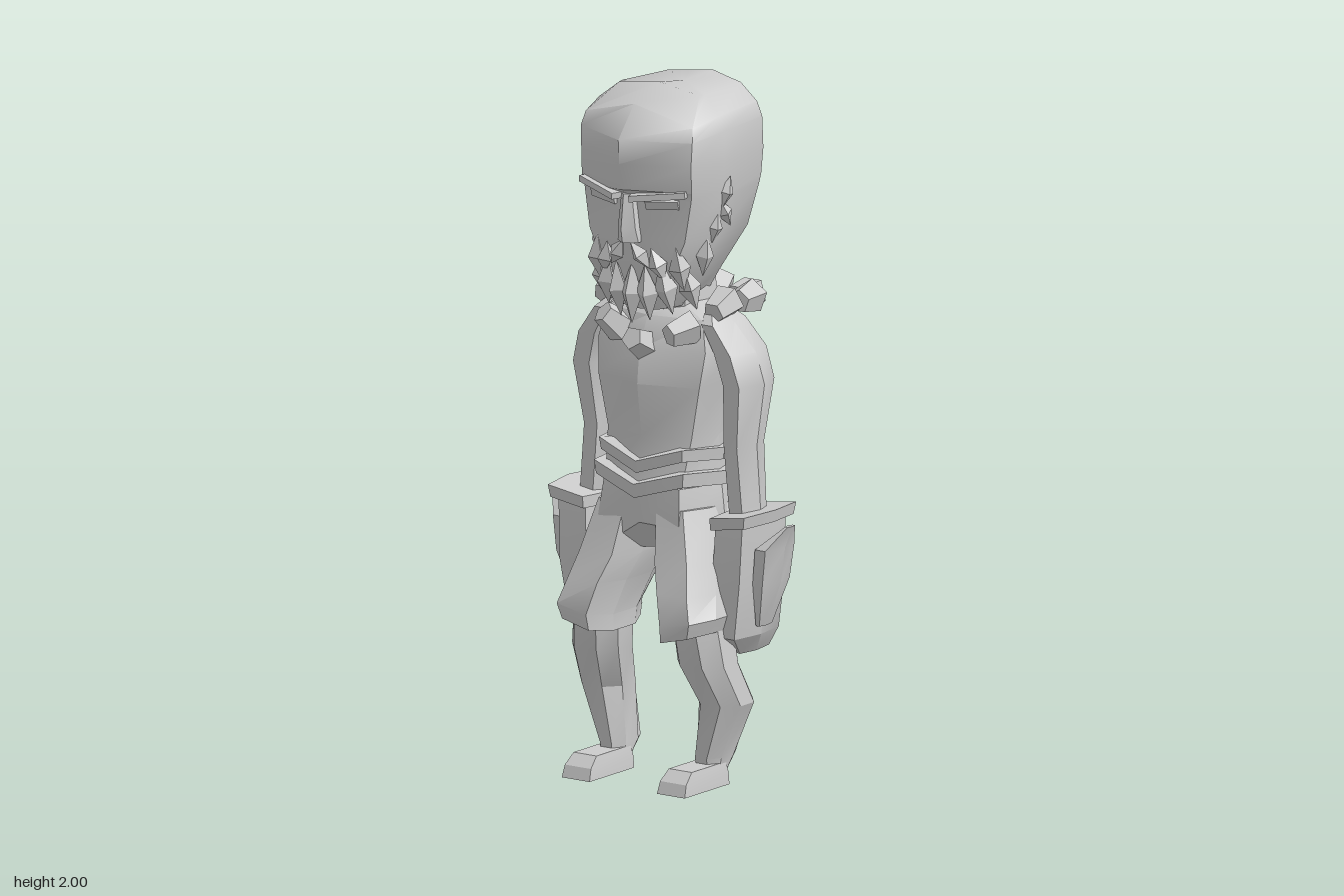
import * as THREE from 'three';
import { toCreasedNormals } from 'three/addons/utils/BufferGeometryUtils.js';

const stone = new THREE.MeshStandardMaterial({ color: 0xcccccc });
stone.name = 'stone grey';

// Skin rings of [x, y, z] points, listed bottom to top, and close both ends.
function loft(rings, crease) {
  const n = rings[0].length, pos = rings.flat(2), idx = [];
  rings.forEach((r, i) => {
    if (i === rings.length - 1) return;
    for (let j = 0; j < n; j++) {
      const a = i * n + j, b = i * n + (j + 1) % n;
      idx.push(a, b, b + n, a, b + n, a + n);
    }
  });
  for (const [i, top] of [[0, false], [rings.length - 1, true]]) {
    const c = pos.length / 3;
    for (let k = 0; k < 3; k++) pos.push(rings[i].reduce((s, p) => s + p[k], 0) / n);
    for (let j = 0; j < n; j++) {
      const a = i * n + j, b = i * n + (j + 1) % n;
      idx.push(c, ...(top ? [a, b] : [b, a]));
    }
  }
  const g = new THREE.BufferGeometry();
  g.setAttribute('position', new THREE.Float32BufferAttribute(pos, 3));
  g.setIndex(idx);
  return toCreasedNormals(g, crease);
}

// Mirrored ring from half points [x, z, optional height change], front to back.
function symmetric(y, half) {
  const right = half.map(([x, z, dy = 0]) => [x, y + dy, z]);
  const left = right.slice(1, -1).reverse().map(([x, h, z]) => [-x, h, z]);
  return [...right, ...left];
}

// Limb ring: height, centre x/z, radii x/z, slope of height outwards.
// A boxiness above 1 widens the front and back faces.
function limbRing([y, cx, cz, rx, rz, slope = 0], side, n = 6, boxy = 1) {
  const ring = [];
  for (let i = 0; i < n; i++) {
    const a = ((i + 0.5) / n) * Math.PI * 2;
    const dx = THREE.MathUtils.clamp(Math.sin(a) * boxy, -1, 1) * rx;
    ring.push([side * (cx + dx), y + dx * slope, cz + Math.cos(a) * rz]);
  }
  return side < 0 ? ring.reverse() : ring;
}

export function createModel() {
  const model = new THREE.Group();
  const add = (name, geometry, p = [0, 0, 0], r = [0, 0, 0]) => {
    const m = new THREE.Mesh(geometry, stone);
    m.name = name;
    m.position.set(...p);
    m.rotation.set(...r);
    model.add(m);
  };
  const body = (name, rings, crease = 0.6) => add(name, loft(rings.map(([y, h]) => symmetric(y, h)), crease));
  const limb = (name, rings, s, n, boxy) => add(name, loft(rings.map(r => limbRing(r, s, n, boxy)), 0.45));

  // Head with a large domed skull and recessed face
  body('head', [
    [1.37, [[0, 0.19], [0.06, 0.17], [0.085, 0.1], [0.08, -0.02], [0.055, -0.08], [0, -0.1]]],
    [1.46, [[0, 0.21], [0.11, 0.185], [0.155, 0.09], [0.13, -0.03], [0.08, -0.1], [0, -0.13]]],
    [1.58, [[0, 0.22], [0.165, 0.185], [0.2, 0.08], [0.175, -0.1], [0.1, -0.16], [0, -0.18]]],
    [1.7, [[0, 0.222], [0.185, 0.182], [0.218, 0.08], [0.2, -0.12], [0.12, -0.21], [0, -0.24]]],
    [1.725, [[0, 0.262], [0.19, 0.187], [0.22, 0.08], [0.203, -0.125], [0.12, -0.216], [0, -0.252]]],
    [1.8, [[0, 0.27], [0.19, 0.19], [0.227, 0.08], [0.207, -0.13], [0.12, -0.223], [0, -0.277]]],
    [1.89, [[0, 0.275, -0.02], [0.193, 0.188, -0.02], [0.225, 0.08], [0.203, -0.13], [0.117, -0.217], [0, -0.258]]],
    [1.93, [[0, 0.2, 0.03], [0.185, 0.175, -0.02], [0.207, 0.08], [0.185, -0.13], [0.1, -0.2], [0, -0.23]]],
    [1.98, [[0, 0.08, 0.02], [0.14, 0.08], [0.146, 0.06], [0.125, -0.135, -0.005], [0.06, -0.155], [0, -0.175, 0.005]]],
  ], 0.8);
  body('nose', [
    [1.57, [[0, 0.255], [0.036, 0.228], [0.03, 0.19], [0, 0.19]]],
    [1.61, [[0, 0.262], [0.03, 0.235], [0.03, 0.19], [0, 0.19]]],
    [1.71, [[0, 0.25], [0.018, 0.235], [0.02, 0.19], [0, 0.19]]],
  ]);
  body('neck', [
    [1.28, [[0, 0.13], [0.1, 0.09], [0.12, 0], [0.1, -0.08], [0, -0.12]]],
    [1.46, [[0, 0.1], [0.085, 0.08], [0.1, 0], [0.08, -0.07], [0, -0.115]]],
  ]);

  // Torso, belt and hips
  body('torso', [
    [0.84, [[0, 0.185], [0.13, 0.16], [0.175, 0.03], [0.13, -0.1], [0, -0.12]]],
    [1.0, [[0, 0.165], [0.145, 0.125], [0.165, 0.02], [0.13, -0.11], [0, -0.135]]],
    [1.15, [[0, 0.185], [0.175, 0.13], [0.195, 0.03], [0.16, -0.105], [0, -0.15]]],
    [1.25, [[0, 0.175], [0.185, 0.115], [0.22, 0.03], [0.175, -0.085], [0, -0.145]]],
    [1.34, [[0, 0.135], [0.165, 0.1], [0.205, 0.03], [0.165, -0.06], [0, -0.12]]],
    [1.375, [[0, 0.09], [0.08, 0.08], [0.12, 0.02], [0.09, -0.05], [0, -0.09]]],
  ]);
  for (const [y, h, w] of [[0.925, 0.035, 0], [0.855, 0.04, 0.01]]) {
    const band = g => [[0, 0.19 + g, -0.03], [0.14 + g, 0.165 + g, 0.015], [0.185 + g, 0.03, 0.005],
      [0.14 + g, -0.11 - g, 0.01], [0, -0.13 - g, 0]];
    body('beltBand', [[y, band(w)], [y + h, band(w + 0.004)]]);
  }
  body('hips', [
    [0.665, [[0, 0.1], [0.13, 0.17], [0.2, 0.05], [0.13, -0.09], [0, -0.05]]],
    [0.75, [[0, 0.175], [0.14, 0.18], [0.2, 0.04], [0.135, -0.125], [0, -0.125]]],
    [0.86, [[0, 0.185], [0.13, 0.165], [0.18, 0.03], [0.13, -0.105], [0, -0.125]]],
  ]);

  for (const s of [1, -1]) {
    // Trouser leg, shin and foot
    limb('trouserLeg', [
      [0.445, 0.17, 0.122, 0.08, 0.134, 0.25], [0.49, 0.178, 0.12, 0.088, 0.145, 0.2],
      [0.57, 0.155, 0.085, 0.09, 0.162], [0.65, 0.13, 0.052, 0.097, 0.165], [0.8, 0.1, 0.03, 0.08, 0.15],
    ], s, 8, 1.5);
    limb('shin', [
      [0.02, 0.165, 0.065, 0.035, 0.035], [0.08, 0.165, 0.04, 0.042, 0.075],
      [0.24, 0.205, 0.042, 0.072, 0.083], [0.36, 0.183, 0.1, 0.08, 0.088], [0.5, 0.17, 0.11, 0.075, 0.1],
    ], s, 8, 1.25);
    limb('foot', [
      [0, 0.165, 0.145, 0.068, 0.15], [0.035, 0.165, 0.14, 0.064, 0.142], [0.065, 0.165, 0.125, 0.056, 0.115],
    ], s, 4);

    // Arm, gauntlet and outer fin
    limb('arm', [
      [0.75, 0.262, 0.015, 0.045, 0.065], [0.98, 0.242, 0.01, 0.045, 0.075],
      [1.16, 0.26, 0.012, 0.055, 0.097], [1.25, 0.235, 0.018, 0.055, 0.1],
      [1.33, 0.185, 0.03, 0.04, 0.09], [1.355, 0.17, 0.03, 0.025, 0.06],
    ], s);
    limb('cuff', [
      [0.76, 0.277, 0.02, 0.076, 0.138, 0.15], [0.795, 0.28, 0.02, 0.08, 0.143, 0.15],
    ], s, 6, 1.5);
    limb('gauntlet', [
      [0.385, 0.235, -0.025, 0.025, 0.08, -0.2], [0.44, 0.25, 0.012, 0.053, 0.122],
      [0.6, 0.265, 0.02, 0.067, 0.125], [0.77, 0.272, 0.02, 0.066, 0.118],
    ], s, 6, 1.4);
    limb('gauntletFin', [
      [0.47, 0.315, 0.015, 0.012, 0.035], [0.6, 0.34, 0.015, 0.034, 0.075],
      [0.7, 0.35, 0.012, 0.036, 0.08], [0.765, 0.403, 0.012, 0.009, 0.02],
    ], s);
    for (let i = 0; i < 3; i++)
      add('finger', new THREE.BoxGeometry(0.04, 0.07, 0.035), [s * 0.215, 0.42, -0.07 + i * 0.055], [0, 0, s * 0.5]);

    // Heavy brow above the closed eye
    add('brow', new THREE.BoxGeometry(0.165, 0.018, 0.035), [s * 0.1, 1.712, 0.222], [0, s * 0.35, s * 0.12]);
    add('eyelid', new THREE.BoxGeometry(0.1, 0.025, 0.02), [s * 0.1, 1.685, 0.2], [0.3, s * 0.25, 0]);

    // Beard and side shards: x, y, z, half width, half length, tilt
    const shards = [
      [0.04, 1.535, 0.225, 0.026, 0.05, 0.6], [0.09, 1.51, 0.21, 0.028, 0.055, 0.3],
      [0.05, 1.425, 0.205, 0.034, 0.085, 0], [0.1, 1.44, 0.185, 0.034, 0.08, 0.15],
      [0.14, 1.5, 0.175, 0.032, 0.07, 0.1], [0.15, 1.44, 0.14, 0.033, 0.07, 0.2],
      [0.18, 1.53, 0.11, 0.026, 0.06, -0.2], [0.2, 1.61, 0.09, 0.024, 0.045, -0.3],
      [0.22, 1.71, 0.065, 0.024, 0.05, -0.4], [0.213, 1.65, 0.06, 0.022, 0.045, 0.3],
    ];
    for (const [x, y, z, w, h, t] of shards)
      add('beardShard', new THREE.OctahedronGeometry(1).scale(w, h, w), [s * x, y, z], [0.15, s * x * 5, s * t]);
  }
  add('chinShard', new THREE.OctahedronGeometry(1).scale(0.036, 0.09, 0.032), [0, 1.42, 0.21]);

  // Necklace of chunky stones around the shoulders
  const beads = 10;
  for (let i = 0; i < beads; i++) {
    const a = (i / beads) * Math.PI * 2, c = Math.cos(a);
    const y = 1.385 - 0.115 * Math.max(0, c) ** 2 - 0.035 * Math.max(0, -c);
    const bead = toCreasedNormals(new THREE.CylinderGeometry(0.034, 0.05, 0.08, 5), 0.3);
    add('necklaceStone', bead, [Math.sin(a) * 0.2, y, c * 0.185 - 0.01], [1.1 + (i % 3) * 0.4, a, (i % 2) * 0.5]);
  }
  return model;
}
